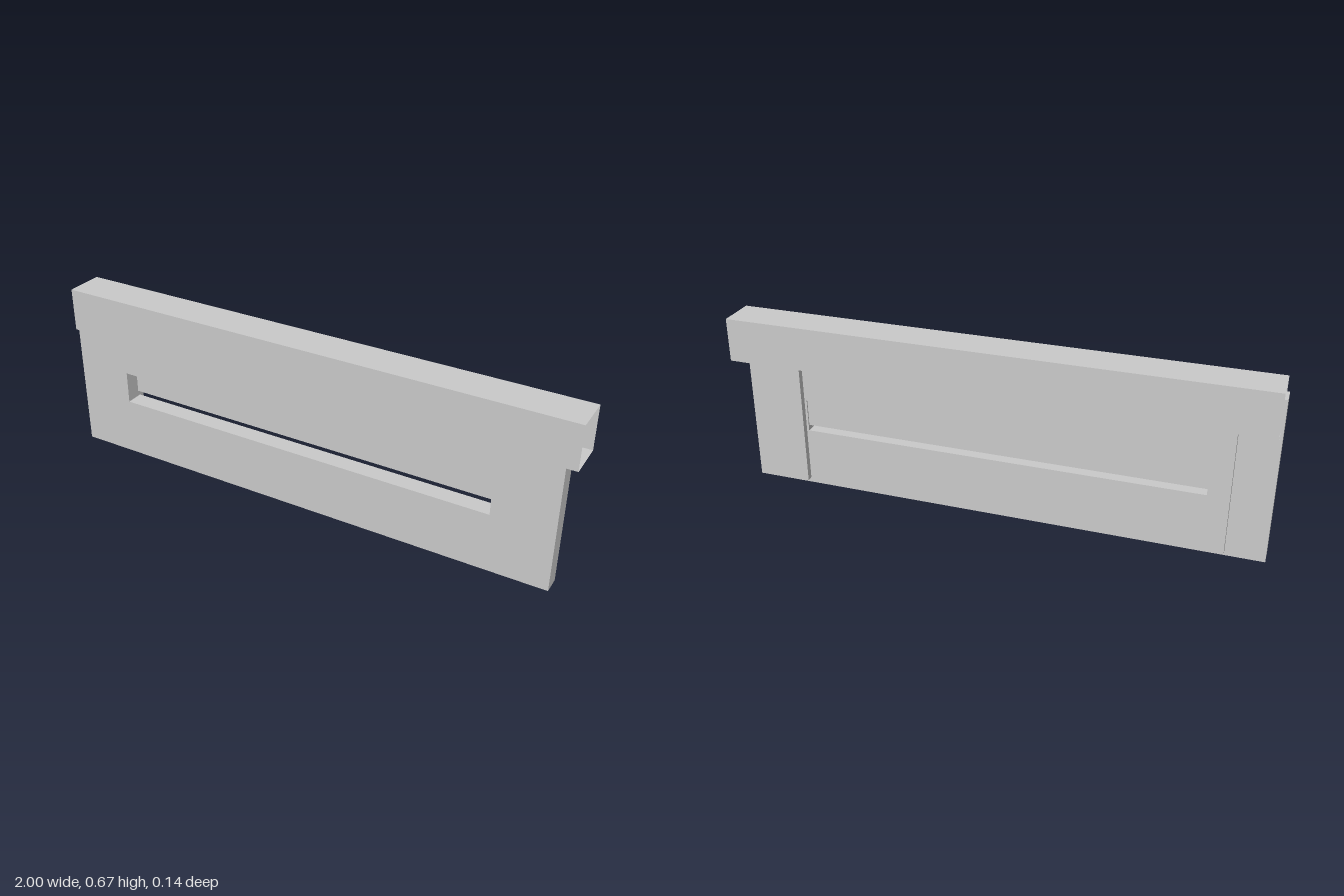
import * as THREE from 'three';

const solid = new THREE.MeshStandardMaterial({ color: 0xcccccc, flatShading: true });
const sheet = new THREE.MeshStandardMaterial({ color: 0xcccccc, flatShading: true, side: THREE.DoubleSide });

// Box between two corners; faces listed in "open" are left out (0..5 = +x -x +y -y +z -z)
function box(name, [x0, y0, z0], [x1, y1, z1], open = []) {
  const geo = new THREE.BoxGeometry(x1 - x0, y1 - y0, z1 - z0);
  geo.translate((x0 + x1) / 2, (y0 + y1) / 2, (z0 + z1) / 2);
  if (open.length) {
    const index = Array.from(geo.index.array);
    geo.setIndex(index.filter((_, i) => !open.includes(Math.floor(i / 6))));
  }
  const mesh = new THREE.Mesh(geo, open.length ? sheet : solid);
  mesh.name = name;
  return mesh;
}

function rectangle(target, x0, y0, x1, y1) {
  target.moveTo(x0, y0);
  target.lineTo(x1, y0);
  target.lineTo(x1, y1);
  target.lineTo(x0, y1);
  target.closePath();
  return target;
}

export function createModel() {
  const model = new THREE.Group();
  model.name = 'slottedPanel';
  const front = 0.047, back = -0.02;
  const centre = -0.0225; // the panel sits slightly off the middle

  // Thick panel with a long slot
  const shape = rectangle(new THREE.Shape(), -1, 0, 0.955, 0.62);
  shape.holes.push(rectangle(new THREE.Path(), -0.78, 0.227, 0.727, 0.352));
  const geo = new THREE.ExtrudeGeometry(shape, { depth: front - back, bevelEnabled: false });
  geo.translate(0, 0, back);
  const panel = new THREE.Mesh(geo, solid);
  panel.name = 'panel';
  model.add(panel);

  // Thin slat closing the slot near the back, leaving a gap at the bottom
  model.add(box('slat', [-0.78, 0.248, -0.015], [0.727, 0.352, -0.011]));

  // Hollow rail around the top, open at both ends
  model.add(box('topRail', [-0.99, 0.5, -0.0725], [1, 0.665, 0.0725], [0, 1]));

  // Upright channels on the back, open at top and bottom
  for (const [name, side] of [['leftChannel', 1], ['rightChannel', -1]]) {
    const x = centre + side * 0.7975;
    model.add(box(name, [x - 0.039, 0.02, -0.043], [x + 0.039, 0.607, back], [2, 3, 4]));
  }
  return model;
}
